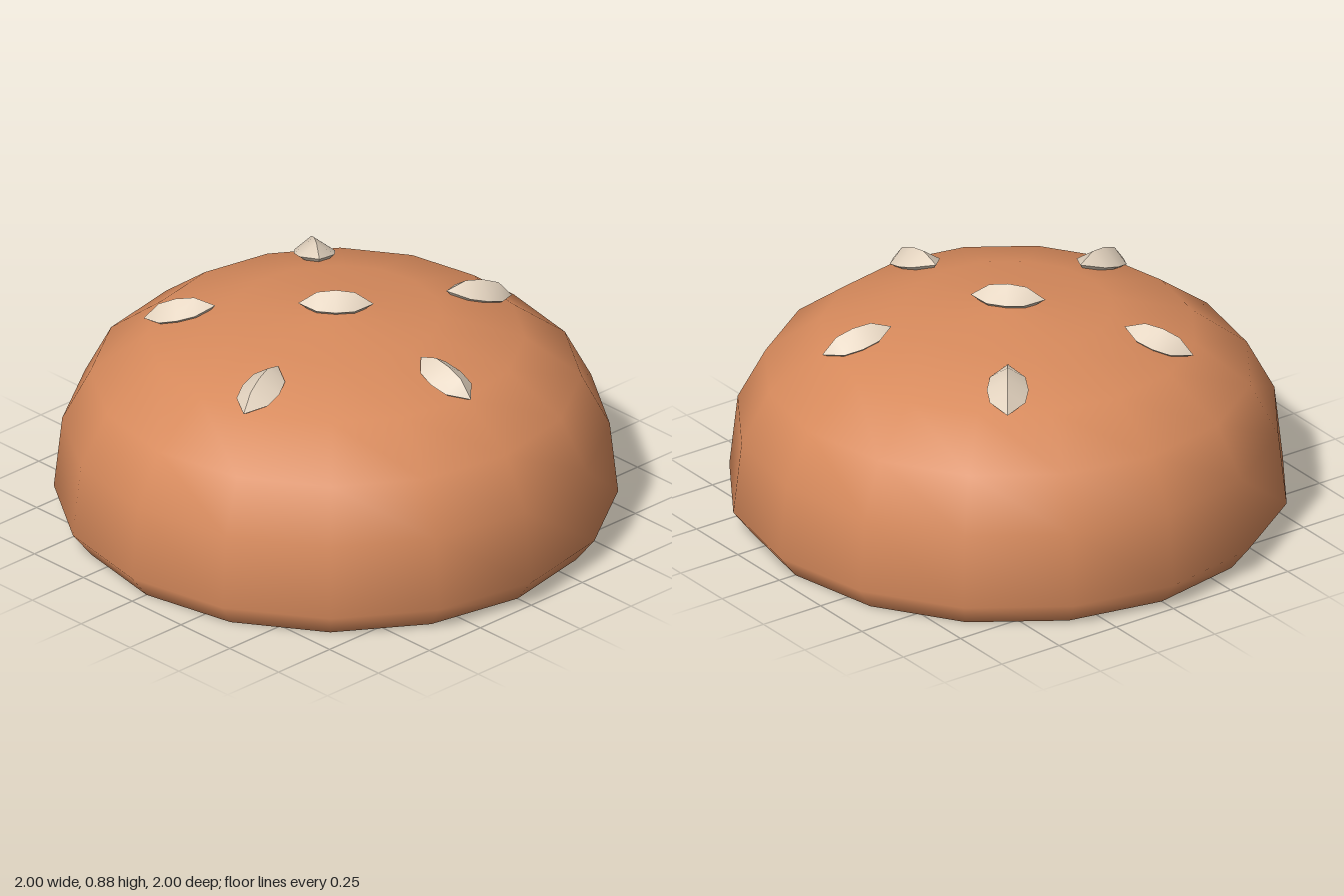
import * as THREE from 'three';
import { toCreasedNormals } from 'three/addons/utils/BufferGeometryUtils.js';

const SIDES = 16;
const crust = new THREE.MeshStandardMaterial({ color: 0xd78a5c });
crust.name = 'crust';
const crumb = new THREE.MeshStandardMaterial({ color: 0xd6ae82 });
crumb.name = 'crumb';
const sesame = new THREE.MeshStandardMaterial({ color: 0xe3d3bf });
sesame.name = 'sesame';

const points = (list) => list.map(([x, y]) => new THREE.Vector2(x, y));

// Pointed four-sided seed lying along z with a sharp ridge on top
function seedGeometry() {
  const profile = points([[0, -1], [0.85, -0.5], [1, 0], [0.85, 0.5], [0, 1]]);
  const geometry = new THREE.LatheGeometry(profile, 4);
  geometry.scale(0.074, 0.134, 0.053);
  geometry.rotateX(Math.PI / 2);
  return toCreasedNormals(geometry, 0.9);
}

export function createModel() {
  const model = new THREE.Group();
  model.name = 'bunTop';

  // Domed crust with a bevelled lower rim
  const profile = points([
    [0.93, 0], [1, 0.09], [0.97, 0.36], [0.87, 0.55], [0.67, 0.7], [0.375, 0.785], [0, 0.812],
  ]);
  const dome = new THREE.Mesh(new THREE.LatheGeometry(profile, SIDES), crust);
  dome.name = 'crustDome';
  model.add(dome);

  // Flat cut face underneath
  const base = new THREE.Mesh(new THREE.CircleGeometry(0.93, SIDES), crumb);
  base.name = 'cutFace';
  base.rotation.x = Math.PI / 2;
  model.add(base);

  // One seed on the crown and a ring of five tilted along the slope
  const geometry = seedGeometry();
  const addSeed = (name, angle, radius, y, tilt) => {
    const seed = new THREE.Mesh(geometry, sesame);
    seed.name = name;
    seed.position.set(Math.sin(angle) * radius, y, Math.cos(angle) * radius);
    seed.rotation.set(tilt, angle, 0, 'YXZ');
    model.add(seed);
  };
  addSeed('crownSeed', Math.PI / 4, 0, 0.828, 0);
  for (let i = 0; i < 5; i++) {
    addSeed(`ringSeed${i + 1}`, (i * Math.PI * 2) / 5, 0.563, 0.742, 0.28);
  }

  return model;
}
